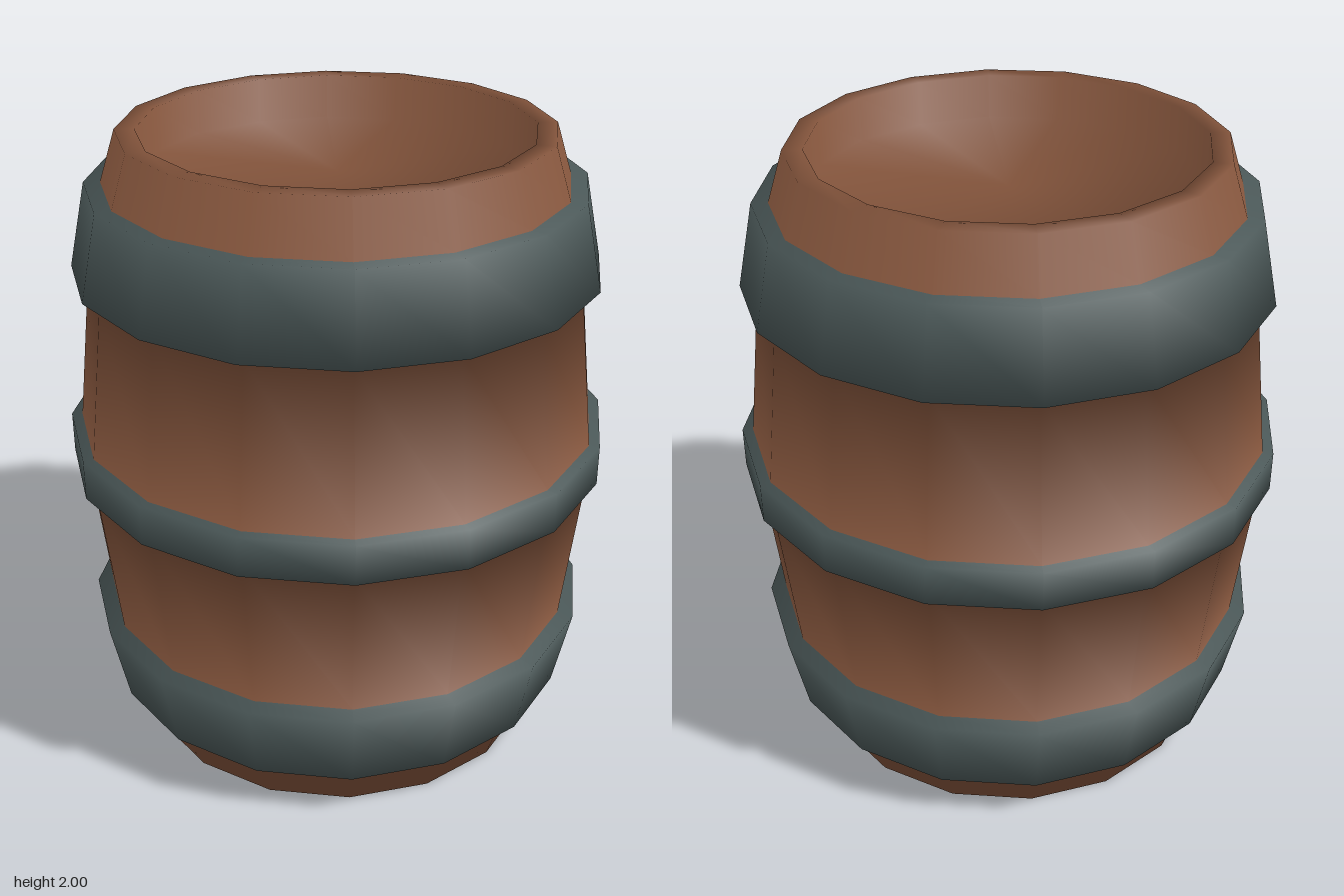
import * as THREE from 'three';

const SIDES = 16;
const FLAT = Math.cos(Math.PI / SIDES); // radii below are measured to the middle of a side

export function createModel() {
  const wood = new THREE.MeshStandardMaterial({ color: 0x80523a });
  wood.name = 'brown wood';
  const iron = new THREE.MeshStandardMaterial({ color: 0x4a5757 });
  iron.name = 'grey iron';

  // Lower half of the profile, from the centre of the sunken lid up to the middle hoop
  const half = [
    [0, 0.14], [0.59, 0.14], [0.59, 0], [0.65, 0], [0.70, 0.16], // lid, rim, lower staves
    [0.75, 0.16], [0.805, 0.425], [0.755, 0.433],                // lower hoop
    [0.81, 0.935], [0.843, 0.935],                               // middle staves, middle hoop
  ];
  const mirrored = half.map(([r, y]) => [r, 2 - y]).reverse();
  const profile = [...half, ...mirrored].map(([r, y]) => new THREE.Vector2(r / FLAT, y));

  // Smooth normals shared along the whole profile, across hoops and staves
  const edgeNormal = (i) => {
    if (i < 0 || i >= profile.length - 1) return new THREE.Vector2();
    const d = profile[i + 1].clone().sub(profile[i]);
    return new THREE.Vector2(d.y, -d.x).normalize();
  };
  const normals = profile.map((p, i) => edgeNormal(i - 1).add(edgeNormal(i)).normalize());

  const group = new THREE.Group();
  group.name = 'barrel';

  // One ring of the barrel, turned from a stretch of the profile
  const addPart = (name, from, to, material) => {
    const points = profile.slice(from, to + 1);
    const start = Math.PI / SIDES;
    const geometry = new THREE.LatheGeometry(points, SIDES, start, Math.PI * 2);
    const normal = geometry.attributes.normal;
    for (let i = 0; i <= SIDES; i++) {
      const phi = start + (i / SIDES) * Math.PI * 2;
      points.forEach((p, j) => {
        const n = normals[from + j];
        normal.setXYZ(i * points.length + j, n.x * Math.sin(phi), n.y, n.x * Math.cos(phi));
      });
    }
    const mesh = new THREE.Mesh(geometry, material);
    mesh.name = name;
    group.add(mesh);
  };

  addPart('bottomLidAndRim', 0, 4, wood);
  addPart('lowerHoop', 4, 7, iron);
  addPart('lowerStaves', 7, 8, wood);
  addPart('middleHoop', 8, 11, iron);
  addPart('upperStaves', 11, 12, wood);
  addPart('upperHoop', 12, 15, iron);
  addPart('topLidAndRim', 15, 19, wood);

  return group;
}
